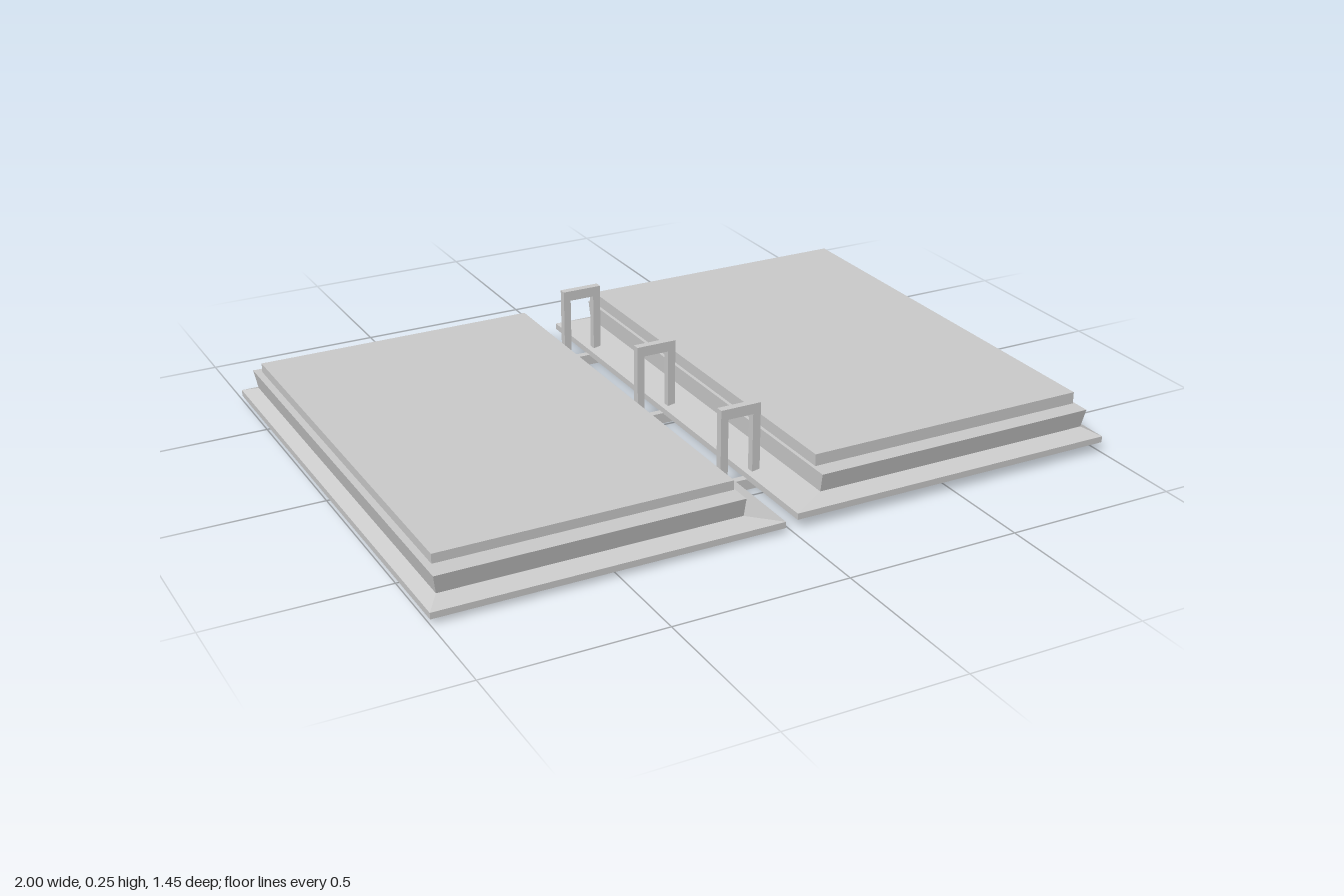
import * as THREE from 'three';

const grey = new THREE.MeshStandardMaterial({ color: 0xcccccc, flatShading: true });

// Closed solid through stacked rectangles [y, x0, x1, z0, z1], bottom to top
function loft(name, rings) {
  const pos = [];
  const corners = ([y, x0, x1, z0, z1]) => [[x0, y, z1], [x1, y, z1], [x1, y, z0], [x0, y, z0]];
  const quad = (a, b, c, d) => pos.push(...a, ...b, ...c, ...a, ...c, ...d);
  const loops = rings.map(corners);
  for (let i = 0; i < loops.length - 1; i++) {
    for (let k = 0; k < 4; k++) {
      const n = (k + 1) % 4;
      quad(loops[i][k], loops[i][n], loops[i + 1][n], loops[i + 1][k]);
    }
  }
  quad(...loops[loops.length - 1]);
  quad(...[...loops[0]].reverse());
  const geometry = new THREE.BufferGeometry();
  geometry.setAttribute('position', new THREE.Float32BufferAttribute(pos, 3));
  geometry.computeVertexNormals();
  const mesh = new THREE.Mesh(geometry, grey);
  mesh.name = name;
  return mesh;
}

// One half: bevelled cover, flared block and inset top slab
function createHalf(name, cover, foot, block, slab, [y0, y1, y2, y3, y4]) {
  const half = new THREE.Group();
  half.name = name;
  half.add(
    loft('cover', [[y0, ...cover], [y1, ...cover], [y2, ...foot]]),
    loft('pageBlock', [[y2, ...foot], [y3, ...block]]),
    loft('topSlab', [[y3, ...slab], [y4, ...slab]])
  );
  return half;
}

// Rectangular binding ring
function createRing(z) {
  const shape = new THREE.Shape([[-0.067, 0], [0.053, 0], [0.053, 0.25], [-0.067, 0.25]]
    .map(p => new THREE.Vector2(...p)));
  shape.holes.push(new THREE.Path([[-0.045, 0.032], [-0.045, 0.22], [0.03, 0.22], [0.03, 0.032]]
    .map(p => new THREE.Vector2(...p))));
  const geometry = new THREE.ExtrudeGeometry(shape, { depth: 0.022, bevelEnabled: false });
  const ring = new THREE.Mesh(geometry, grey);
  ring.position.z = z - 0.011;
  ring.name = 'bindingRing';
  return ring;
}

export function createModel() {
  const model = new THREE.Group();
  model.name = 'openBinder';

  model.add(createHalf('rightHalf',
    [-1, -0.02, -0.726, 0.726], [-0.963, -0.117, -0.678, 0.676],
    [-0.972, -0.115, -0.69, 0.686], [-0.952, -0.118, -0.666, 0.627],
    [0.015, 0.033, 0.051, 0.104, 0.131]));
  model.add(createHalf('leftHalf',
    [0.015, 1, -0.726, 0.726], [0.113, 0.962, -0.678, 0.676],
    [0.112, 0.97, -0.69, 0.686], [0.122, 0.964, -0.668, 0.634],
    [0.03, 0.048, 0.066, 0.119, 0.153]));

  for (const z of [-0.498, -0.02, 0.456]) model.add(createRing(z));
  return model;
}
